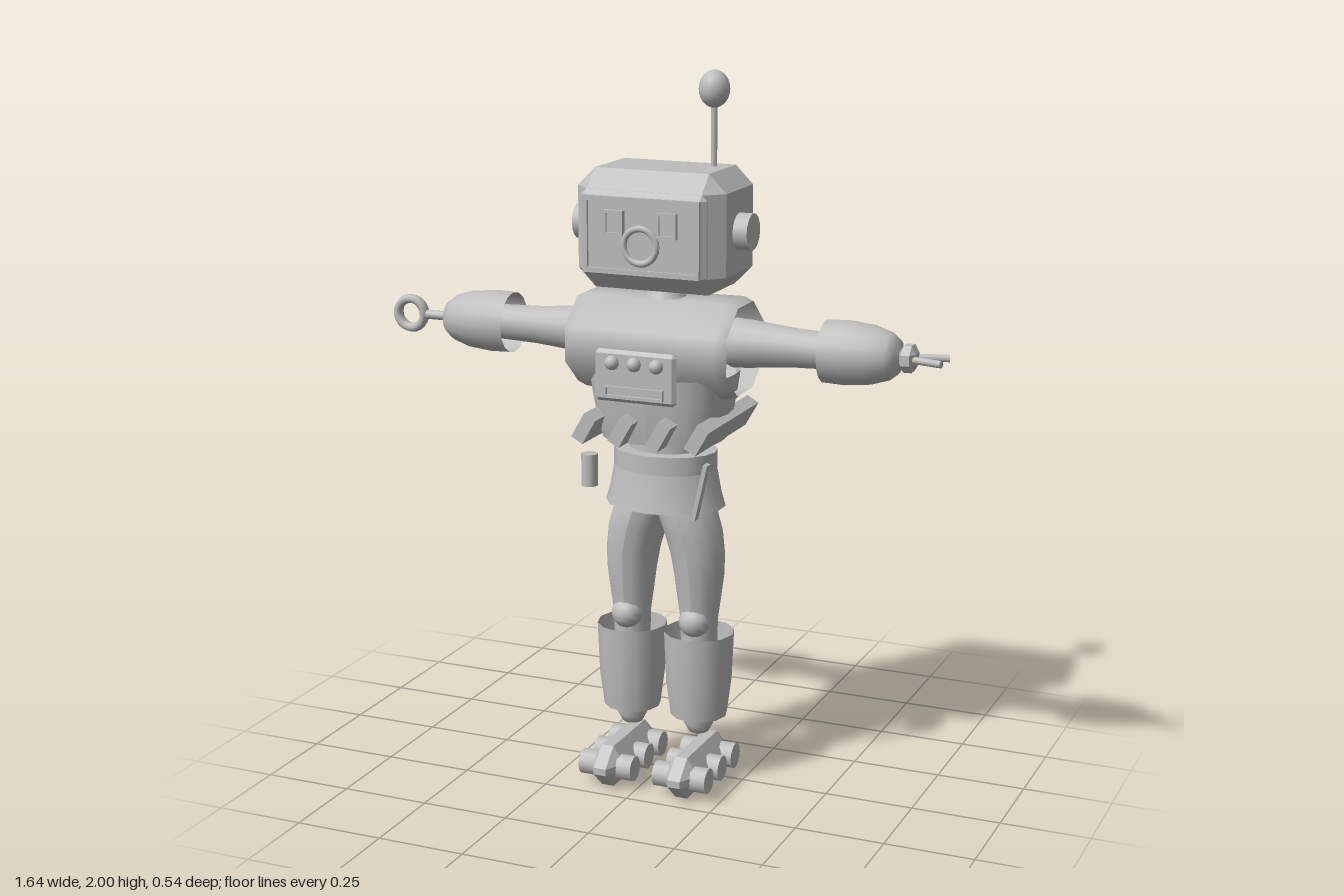
import * as THREE from 'three';
import { ConvexGeometry } from 'three/addons/geometries/ConvexGeometry.js';

const CX = 0.026; // body centre line
const CZ = 0.033;

export function createModel() {
  const root = new THREE.Group();
  root.name = 'robot';
  const grey = new THREE.MeshStandardMaterial({ color: 0xbebebe, side: THREE.DoubleSide });
  grey.name = 'grey';

  const add = (name, geo, x = 0, y = 0, z = 0) => {
    const m = new THREE.Mesh(geo, grey);
    m.name = name;
    m.position.set(x, y, z);
    root.add(m);
    return m;
  };
  const box = (w, h, d) => new THREE.BoxGeometry(w, h, d);
  const lathe = (pts, seg = 16, start = 0) =>
    new THREE.LatheGeometry(pts.map(p => new THREE.Vector2(p[0], p[1])), seg, start);
  // lathe lying along x, pointing to side s
  const sideLathe = (pts, s) => lathe(pts).rotateZ(-s * Math.PI / 2);
  const cylX = (r, len, seg = 16) => new THREE.CylinderGeometry(r, r, len, seg).rotateZ(Math.PI / 2);
  // move every vertex of a geometry by a rule
  const bend = (geo, rule) => {
    const p = geo.attributes.position;
    for (let i = 0; i < p.count; i++) p.setXYZ(i, ...rule(p.getX(i), p.getY(i), p.getZ(i)));
    geo.computeVertexNormals();
    return geo;
  };

  // box with all edges and corners cut flat
  const chamferBox = (w, h, d, cx, cy = cx, cz = cx) => {
    const pts = [];
    for (const i of [-1, 1]) for (const j of [-1, 1]) for (const k of [-1, 1]) {
      const X = w / 2, Y = h / 2, Z = d / 2;
      pts.push(
        new THREE.Vector3(i * X, j * (Y - cy), k * (Z - cz)),
        new THREE.Vector3(i * (X - cx), j * Y, k * (Z - cz)),
        new THREE.Vector3(i * (X - cx), j * (Y - cy), k * Z));
    }
    return new ConvexGeometry(pts);
  };
  // rectangular frame standing in the xy plane
  const frame = (w, h, t, depth) => {
    const rect = (Shape, a, b) => new Shape([[-a, -b], [a, -b], [a, b], [-a, b]].map(p => new THREE.Vector2(...p)));
    const s = rect(THREE.Shape, w / 2, h / 2);
    s.holes.push(rect(THREE.Path, w / 2 - t, h / 2 - t));
    return new THREE.ExtrudeGeometry(s, { depth, bevelEnabled: false });
  };

  // head, ears and antenna
  add('head', chamferBox(0.428, 0.323, 0.291, 0.05), CX, 1.582, 0.034);
  add('ears', cylX(0.05, 0.508), CX, 1.582, 0.037);
  add('antennaRod', new THREE.CylinderGeometry(0.009, 0.009, 0.2, 8), 0.146, 1.83, -0.014);
  add('antennaBall', new THREE.SphereGeometry(0.042, 16, 12).scale(1, 1.2, 1), 0.146, 1.949, -0.014);
  add('neck', lathe([[0.075, 1.35], [0.064, 1.38], [0.042, 1.41], [0.04, 1.43]]), CX, 0, CZ);

  // face plate
  add('facePlate', chamferBox(0.36, 0.235, 0.036, 0.015), CX, 1.577, 0.18);
  add('faceFrame', frame(0.335, 0.207, 0.014, 0.014), CX, 1.577, 0.192);
  for (const s of [-1, 1]) {
    add('eye', box(0.04, 0.052, 0.01), CX + s * 0.076, 1.611, 0.2);
    add('eyeFrame', frame(0.056, 0.068, 0.008, 0.017), CX + s * 0.076, 1.611, 0.195);
  }
  add('mouthRing', new THREE.TorusGeometry(0.047, 0.009, 8, 24), CX, 1.553, 0.206);
  add('mouth', new THREE.CylinderGeometry(0.045, 0.045, 0.01, 24).rotateX(Math.PI / 2), CX, 1.553, 0.2);

  // upper torso: a tube along x, open at the armholes and dipped at the neck
  const chest = lathe([[0.92, -0.235], [1, -0.205], [0.99, -0.1], [0.95, 0],
    [0.99, 0.1], [1, 0.205], [0.92, 0.235]], 8, Math.PI / 8);
  chest.rotateZ(-Math.PI / 2).scale(1, 0.13 / 0.924, 0.15 / 0.924);
  add('chest', chest, CX, 1.265, 0.039);

  // lower torso: squarish tube
  const belly = bend(lathe([[0.82, 1.0], [0.89, 1.05], [0.95, 1.12], [1, 1.19]], 24), (x, y, z) => {
    const r = Math.hypot(x, z);
    const sq = v => Math.sign(v) * Math.pow(Math.abs(v / r), 0.7) * r;
    return [sq(x) * 0.204, y, sq(z) * 0.15];
  });
  add('belly', belly, CX, 0, 0.039);

  // slanted slats running front to back
  for (const x of [-0.137, -0.03, 0.083, 0.193])
    add('slat', box(0.038, 0.078, 0.37), x, 1.045, 0.035).rotation.z = -0.52;

  // chest control panel
  add('controlPanel', chamferBox(0.235, 0.142, 0.022, 0.01), CX, 1.206, 0.235);
  for (const i of [-1, 0, 1])
    add('knob', new THREE.SphereGeometry(0.02, 12, 8), CX + i * 0.064, 1.243, 0.247);
  add('slotFrame', frame(0.17, 0.03, 0.006, 0.012), CX, 1.165, 0.243);

  // backpack
  add('backpack', chamferBox(0.276, 0.281, 0.11, 0.035), 0.022, 1.188, -0.207);
  add('backpackStrip', box(0.035, 0.17, 0.03), 0.098, 1.185, -0.26);

  // waist, belt and skirt
  add('waist', lathe([[0.1, 0.9], [0.1, 1.02]]).scale(1, 1, 0.8), CX, 0, CZ);
  add('belt', new THREE.CylinderGeometry(0.148, 0.148, 0.052, 16).scale(1, 1, 0.79), CX, 0.94, CZ);
  add('skirt', lathe([[0.172, 0.808], [0.16, 0.85], [0.148, 0.914]], 14).scale(1, 1, 0.76), CX, 0, CZ);
  add('canister', new THREE.CylinderGeometry(0.023, 0.023, 0.09, 12), -0.144, 0.917, 0.165);
  add('tool', box(0.012, 0.16, 0.026), 0.189, 0.892, 0.176).rotation.z = -0.22;

  // arms
  for (const s of [-1, 1]) {
    add('upperArm', sideLathe([[0, 0.16], [0.055, 0.175], [0.068, 0.205], [0.066, 0.25], [0.06, 0.3],
      [0.053, 0.38], [0.049, 0.5]], s), CX, 1.278, CZ);
    add('forearm', sideLathe([[0.085, 0.462], [0.087, 0.52], [0.08, 0.59], [0.064, 0.64],
      [0.045, 0.664], [0, 0.674]], s), CX, 1.278, CZ);
  }

  // ring hand on one side
  add('ringRod', cylX(0.013, 0.09, 10), -0.68, 1.278, CZ);
  add('ringHand', new THREE.TorusGeometry(0.042, 0.013, 8, 24).scale(1, 1, 1.3), -0.763, 1.278, CZ);

  // gripper hand on the other
  add('gripperHub', chamferBox(0.046, 0.072, 0.076, 0.012, 0.022, 0.022), 0.717, 1.278, CZ);
  for (const s of [-1, 1])
    add('prong', cylX(0.01, 0.09, 8), 0.772, 1.278, CZ + s * 0.028).rotation.y = -s * 0.25;

  // legs
  for (const s of [-1, 1]) {
    const x = CX + s * 0.102;
    // thighs lean inward to meet at the hips
    const thigh = lathe([[0.05, 0.38], [0.052, 0.48], [0.06, 0.54], [0.069, 0.61], [0.075, 0.67],
      [0.081, 0.735], [0.085, 0.81], [0.07, 0.87], [0, 0.9]]).scale(1, 1, 1.06);
    bend(thigh, (px, py, pz) => [px - s * 1.0 * Math.max(0, py - 0.6) ** 2, py, pz]);
    add('thigh', thigh, x, 0, CZ);
    add('knee', new THREE.SphereGeometry(0.045, 14, 10), x, 0.482, 0.066);
    add('shin', lathe([[0.08, 0.2], [0.093, 0.3], [0.099, 0.445]], 12), x, 0, CZ);
    add('shinBase', new THREE.CircleGeometry(0.08, 12).rotateX(Math.PI / 2), x, 0.2, CZ);
    add('ankle', lathe([[0, 0.14], [0.028, 0.147], [0.042, 0.172], [0.044, 0.21]], 12), x, 0, CZ);

    // foot with three pairs of wheels
    const fx = CX + s * 0.112;
    add('foot', chamferBox(0.1, 0.12, 0.33, 0.032, 0.05, 0.055), fx, 0.063, 0.075);
    for (const z of [0.175, 0.075, -0.025])
      add('wheels', cylX(0.036, 0.158, 14), fx, 0.061, z);
  }
  return root;
}
